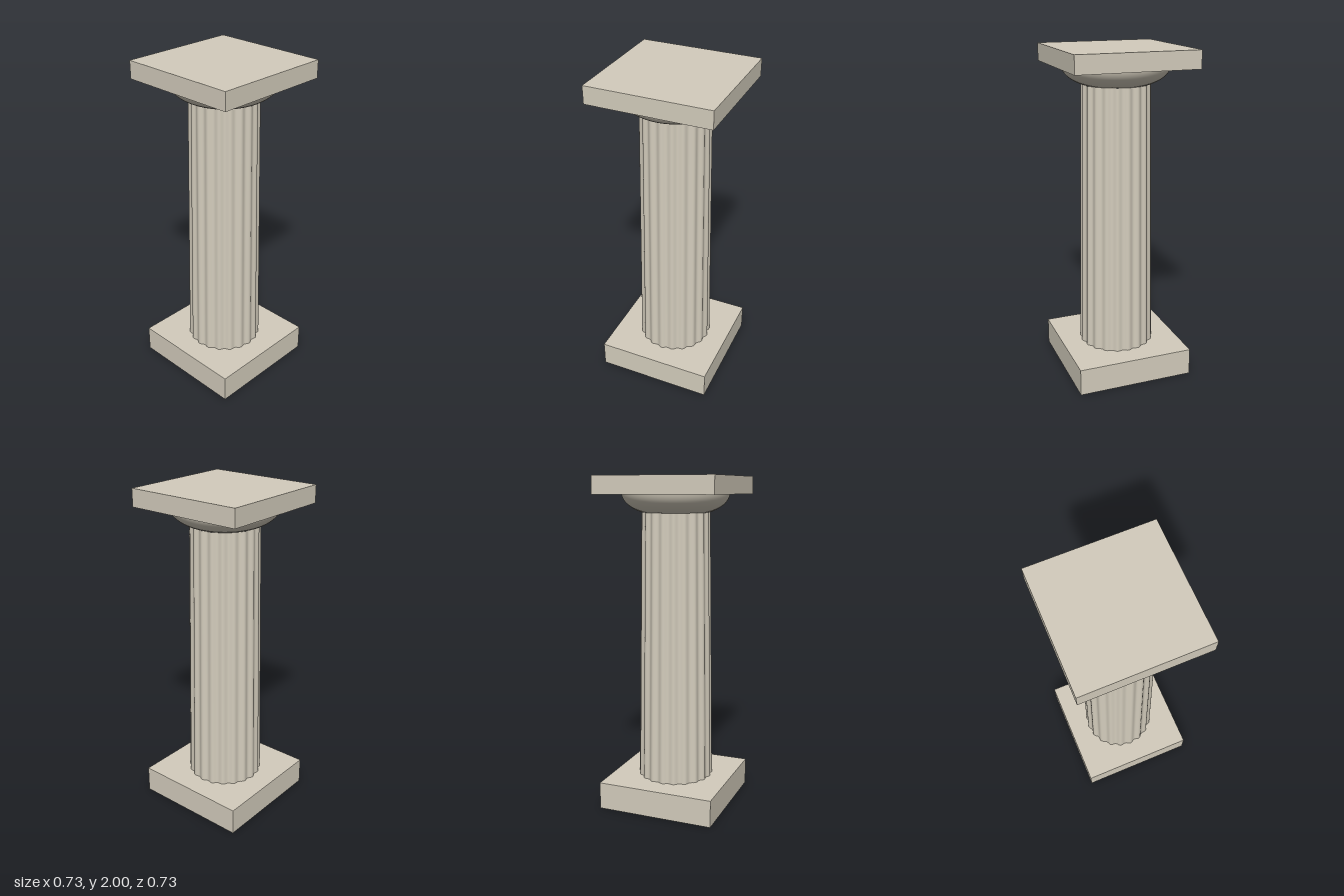
import * as THREE from 'three';

const stone = new THREE.MeshStandardMaterial({ color: 0xd3ccbc });

function add(group, name, geometry, y = 0) {
  const mesh = new THREE.Mesh(geometry, stone);
  mesh.name = name;
  mesh.position.y = y;
  group.add(mesh);
}

// Tapered shaft whose radius dips between 20 evenly spaced ridges
function flutedShaft(bottomRadius, topRadius, bottom, top, flutes, depth) {
  const geometry = new THREE.CylinderGeometry(topRadius, bottomRadius, top - bottom, flutes * 10, 8, true);
  const p = geometry.attributes.position;
  const n = geometry.attributes.normal;
  const v = new THREE.Vector3();
  const half = flutes / 2;
  for (let i = 0; i < p.count; i++) {
    const angle = Math.atan2(p.getX(i), p.getZ(i));
    const radius = Math.hypot(p.getX(i), p.getZ(i));
    const r = radius * (1 - depth * Math.sin(half * angle) ** 2);
    p.setXYZ(i, r * Math.sin(angle), p.getY(i), r * Math.cos(angle));
    // Exact smooth normal of the fluted section, leaving no seam
    const slope = -radius * depth * half * Math.sin(2 * half * angle);
    v.set(
      r * Math.sin(angle) - slope * Math.cos(angle),
      r * (bottomRadius - topRadius) / (top - bottom),
      r * Math.cos(angle) + slope * Math.sin(angle)
    ).normalize();
    n.setXYZ(i, v.x, v.y, v.z);
  }
  return geometry;
}

export function createModel() {
  const column = new THREE.Group();
  column.name = 'column';

  // Square slabs at the foot and the top
  add(column, 'plinth', new THREE.BoxGeometry(0.715, 0.165, 0.715), 0.0825);
  add(column, 'abacus', new THREE.BoxGeometry(0.73, 0.105, 0.73), 1.9475);

  // Fluted shaft
  add(column, 'shaft', flutedShaft(0.23, 0.205, 0.165, 1.79, 20, 0.055), 0.9775);

  // Rounded cushion flaring out from the shaft, closed underneath
  const flare = new THREE.QuadraticBezierCurve(
    new THREE.Vector2(0.203, 1.79),
    new THREE.Vector2(0.305, 1.825),
    new THREE.Vector2(0.32, 1.895)
  );
  add(column, 'echinus', new THREE.LatheGeometry(flare.getPoints(16), 80));
  const underside = new THREE.CircleGeometry(0.203, 80).rotateX(Math.PI / 2);
  add(column, 'echinusUnderside', underside, 1.79);

  return column;
}
